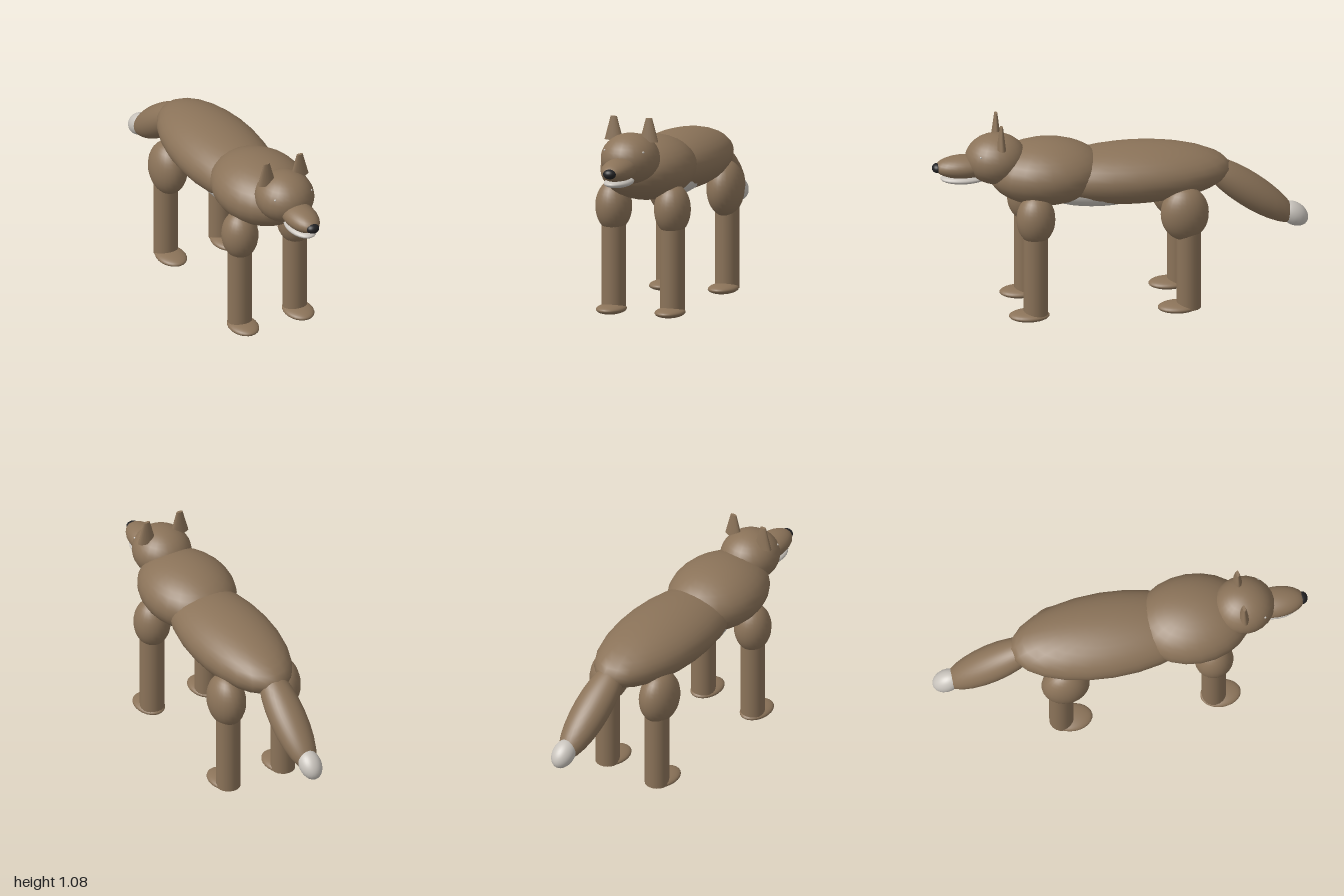
import * as THREE from 'three';

const mat = (name, color) => {
  const m = new THREE.MeshStandardMaterial({ color });
  m.name = name;
  return m;
};

export function createModel() {
  const fur = mat('brown fur', 0x8b7359);
  const pale = mat('pale fur', 0xc8c3bc);
  const black = mat('nose black', 0x222224);
  const model = new THREE.Group();
  model.name = 'fox';

  const add = (name, geometry, material, position, parent = model) => {
    const mesh = new THREE.Mesh(geometry, material);
    mesh.name = name;
    mesh.position.set(...position);
    parent.add(mesh);
    return mesh;
  };

  // Most parts are stretched spheres given by centre and radii
  const ellipsoid = (name, material, position, radii, parent) =>
    add(name, new THREE.SphereGeometry(1, 24, 18).scale(...radii), material, position, parent);

  // Torso
  ellipsoid('body', fur, [0, 0.745, -0.07], [0.235, 0.156, 0.52]);
  ellipsoid('chest', fur, [0, 0.78, 0.39], [0.246, 0.171, 0.31]);
  ellipsoid('belly', pale, [0, 0.69, 0.11], [0.18, 0.108, 0.34]);

  // Head
  const head = new THREE.Group();
  head.name = 'head';
  model.add(head);
  ellipsoid('skull', fur, [0, 0.868, 0.66], [0.156, 0.134, 0.163], head);
  ellipsoid('muzzle', fur, [0, 0.832, 0.83], [0.085, 0.061, 0.155], head);
  ellipsoid('jaw', pale, [0, 0.768, 0.83], [0.072, 0.026, 0.125], head);
  ellipsoid('nose', black, [0, 0.831, 0.97], [0.035, 0.026, 0.03], head);

  // Ears and eyes, mirrored
  for (const side of [1, -1]) {
    const ear = new THREE.CylinderGeometry(0.018, 0.052, 0.125, 16).scale(1, 1, 0.45);
    add('ear', ear, fur, [side * 0.099, 1.022, 0.645], head);
    ellipsoid('eye', pale, [side * 0.108, 0.92, 0.756], [0.006, 0.006, 0.006], head);
  }

  // Legs: upper leg, lower leg and paw
  const leg = (name, x, z, upperY, upperZ, upperRadii) => {
    const group = new THREE.Group();
    group.name = name;
    group.position.set(x, 0, z);
    model.add(group);
    ellipsoid('upperLeg', fur, [0, upperY, upperZ], upperRadii, group);
    add('lowerLeg', new THREE.CylinderGeometry(0.065, 0.065, 0.48, 20), fur, [0, 0.265, 0], group);
    ellipsoid('paw', fur, [0, 0.03, 0.035 + upperZ], [0.078, 0.027, 0.108], group);
  };
  for (const side of [1, -1]) {
    leg('frontLeg', side * 0.165, 0.472, 0.575, 0, [0.097, 0.137, 0.103]);
    leg('hindLeg', side * 0.165, -0.342, 0.56, 0.022, [0.097, 0.15, 0.128]);
  }

  // Drooping tail with a pale tip
  const slope = -0.64;
  ellipsoid('tail', fur, [0, 0.605, -0.685], [0.1, 0.09, 0.31]).rotation.x = slope;
  ellipsoid('tailTip', pale, [0, 0.452, -0.925], [0.06, 0.06, 0.085]).rotation.x = slope;

  return model;
}
